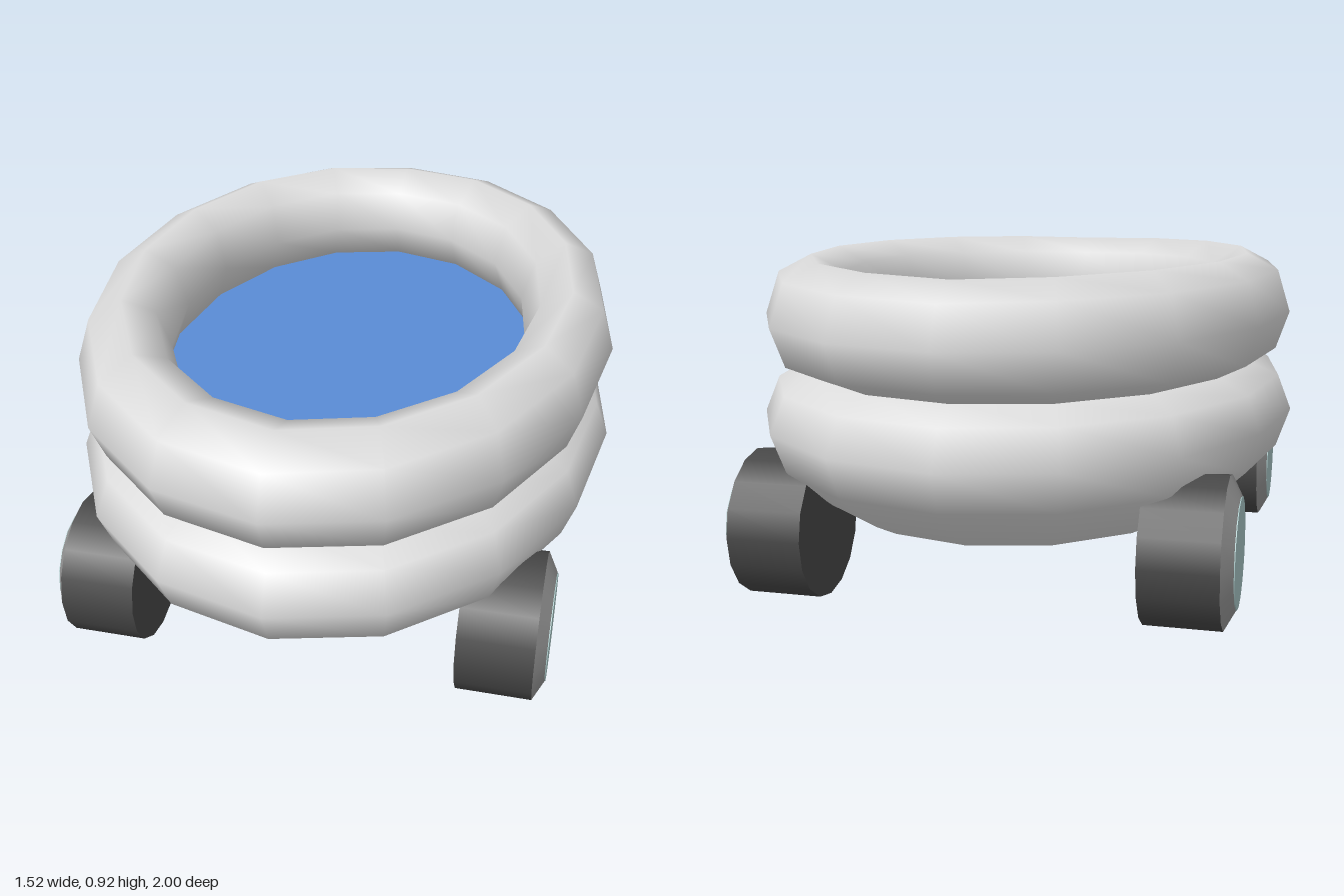
import * as THREE from 'three';

const SEGMENTS = 16;

function material(name, color, side = THREE.FrontSide) {
  const m = new THREE.MeshStandardMaterial({ color, side });
  m.name = name;
  return m;
}

export function createModel() {
  const model = new THREE.Group();
  model.name = 'wheeledTub';

  const shell = material('light grey shell', 0xdcdcdc, THREE.DoubleSide);
  const water = material('blue water', 0x5a8cd6);
  const tyre = material('dark grey tyre', 0x484848);
  const rim = material('mid grey rim', 0x989898);
  const hub = material('pale teal hub', 0xa8c6c6);

  function add(parent, name, geometry, mat) {
    const mesh = new THREE.Mesh(geometry, mat);
    mesh.name = name;
    parent.add(mesh);
    return mesh;
  }

  // Turned part squeezed sideways into an oval
  function oval(points, width) {
    const profile = points.map(([r, y]) => new THREE.Vector2(r, y));
    return new THREE.LatheGeometry(profile, SEGMENTS).scale(width, 1, 1);
  }

  // Lower hull: bulging side that tapers to a flat floor
  add(model, 'lowerHull', oval([
    [0.72, 0.22], [0.80, 0.257], [0.95, 0.365], [1, 0.475],
    [0.95, 0.573], [0.835, 0.61],
  ], 0.762), shell);
  add(model, 'floor', oval([[0, 0.22], [0.72, 0.22]], 0.762), shell);

  // Upper ring: eight-sided tube, slightly higher along its flanks
  const tube = [];
  for (let i = 0; i <= 8; i++) {
    const a = -Math.PI / 2 + (i / 8) * Math.PI * 2;
    tube.push([0.835 + 0.165 * Math.cos(a), 0.757 + 0.15 * Math.sin(a)]);
  }
  const ring = oval(tube, 0.75);
  const pos = ring.attributes.position;
  for (let i = 0; i < pos.count; i++) {
    const lift = Math.max(0, pos.getY(i) - 0.757) / 0.15;
    pos.setY(i, pos.getY(i) + 0.018 * lift * Math.abs(pos.getX(i)) / 0.75);
  }
  add(model, 'upperRing', ring, shell);

  // Water surface inside the ring
  add(model, 'water', oval([[0.83, 0.612], [0, 0.612]], 0.755), water);

  // Four wheels with bevelled rims and hub plates, outer face towards +y before turning
  for (const side of [-1, 1]) {
    for (const end of [-1, 1]) {
      const wheel = new THREE.Group();
      wheel.name = (end > 0 ? 'front' : 'back') + (side > 0 ? 'Left' : 'Right') + 'Wheel';

      add(wheel, 'tyre', new THREE.CylinderGeometry(0.2, 0.2, 0.205, SEGMENTS), tyre);
      add(wheel, 'rim', new THREE.CylinderGeometry(0.147, 0.2, 0.028, SEGMENTS), rim)
        .position.y = 0.1165;
      add(wheel, 'hub', new THREE.CylinderGeometry(0.145, 0.145, 0.004, SEGMENTS), hub)
        .position.y = 0.131;

      wheel.rotation.z = -side * Math.PI / 2;
      wheel.position.set(side * 0.5435, 0.205, end * 0.567);
      model.add(wheel);
    }
  }

  return model;
}
